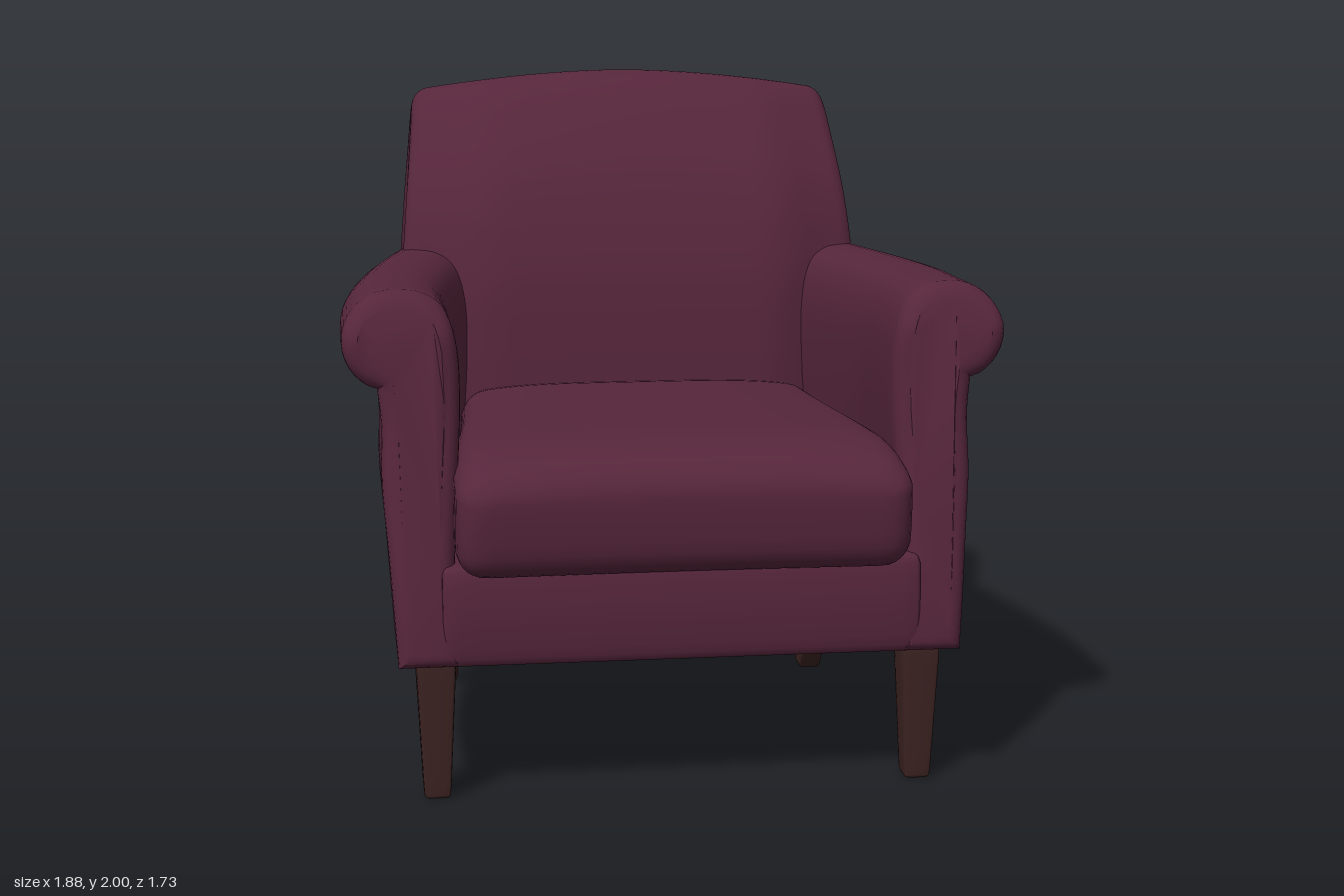
import * as THREE from 'three';
import { mergeVertices, toCreasedNormals } from 'three/addons/utils/BufferGeometryUtils.js';

const { clamp, lerp, smoothstep } = THREE.MathUtils;

// Move every vertex of a geometry by a rule
function deform(geo, rule) {
  const p = geo.attributes.position;
  const v = new THREE.Vector3();
  for (let i = 0; i < p.count; i++) {
    v.fromBufferAttribute(p, i);
    rule(v);
    p.setXYZ(i, v.x, v.y, v.z);
  }
  return geo;
}

// Upholstered block: rounded edges, dense enough to bend, fully smooth
function softBox(w, h, d, r, segs, rule) {
  let geo = new THREE.BoxGeometry(w, h, d, ...segs);
  const half = [w / 2, h / 2, d / 2];
  const inner = new THREE.Vector3(w / 2 - r, h / 2 - r, d / 2 - r);
  const low = inner.clone().negate();
  const core = new THREE.Vector3();
  deform(geo, (v) => {
    // crowd the grid lines towards the edges
    ['x', 'y', 'z'].forEach((a, i) => { v[a] = half[i] * Math.sin((v[a] / half[i]) * Math.PI / 2); });
    core.copy(v).clamp(low, inner);
    v.sub(core).setLength(r).add(core);
  });
  deform(geo, rule);
  geo.deleteAttribute('uv');
  geo.deleteAttribute('normal');
  geo = mergeVertices(geo, 1e-5);
  geo.computeVertexNormals();
  return geo;
}

// Bevelled extrusion running from z = 0 to z = length
function softExtrude(shape, length, bevel, steps, curveSegments) {
  const geo = new THREE.ExtrudeGeometry(shape, {
    depth: length - 2 * bevel, steps, curveSegments,
    bevelEnabled: true, bevelThickness: bevel, bevelSize: bevel, bevelOffset: -bevel, bevelSegments: 5,
  });
  return geo.translate(0, 0, bevel);
}

const points = (list) => list.map(([x, y]) => new THREE.Vector2(x, y));

// Raked line of the rear of the chair, and how far the sides close in towards it
const rearZ = (y) => -0.5 - 0.24 * (y - 0.4);
const closeIn = (z) => 0.15 * Math.pow(clamp((0.25 - z) / 0.95, 0, 1), 1.4);

function armGeometry(side) {
  const s = new THREE.Shape();
  const flip = (list) => points(list.map(([x, y]) => [x * side, y]));
  s.moveTo(0.62 * side, 0.4);
  s.lineTo(0.8 * side, 0.4);
  s.splineThru(flip([[0.82, 0.7], [0.835, 0.9], [0.833, 1.06], [0.843, 1.172]]));
  // rolled top
  const roll = [];
  for (let i = 1; i <= 16; i++) {
    const a = lerp(-1.25, Math.PI / 2, i / 16);
    roll.push([0.8 + 0.14 * Math.cos(a), 1.303 + 0.14 * Math.sin(a)]);
  }
  flip(roll).forEach((p) => s.lineTo(p.x, p.y));
  s.splineThru(flip([[0.72, 1.435], [0.655, 1.39], [0.62, 1.28], [0.615, 1.1], [0.63, 0.85], [0.64, 0.65]]));
  const L = 1.3;
  const geo = softExtrude(s, L, 0.045, 18, 4);
  deform(geo, (v) => {
    const front = 0.775 - 0.11 * smoothstep(v.y, 0.35, 1.25) - 0.045 * smoothstep(v.y, 1.3, 1.44);
    const rear = rearZ(v.y) + 0.1 * smoothstep(v.y, 1.27, 1.44);
    v.z = lerp(rear, front, v.z / L);
    v.x -= side * closeIn(v.z);
  });
  return toCreasedNormals(geo, 0.7);
}

function backGeometry() {
  const s = new THREE.Shape();
  s.moveTo(-0.5, 0.4);
  s.lineTo(-0.28, 0.4);
  s.lineTo(-0.285, 0.8);
  s.lineTo(-0.295, 1.1);
  s.splineThru(points([[-0.312, 1.3], [-0.34, 1.44], [-0.38, 1.57], [-0.45, 1.72], [-0.56, 1.875],
    [-0.65, 1.965], [-0.735, 2.0], [-0.82, 1.975], [-0.865, 1.9], [-0.845, 1.8]]));
  for (let y = 1.6; y > 0.5; y -= 0.2) s.lineTo(rearZ(y), y);
  const W = 1.46;
  const geo = softExtrude(s, W, 0.05, 24, 4);
  geo.translate(0, 0, -W / 2).rotateY(-Math.PI / 2);
  deform(geo, (v) => {
    const u = v.x / (W / 2);
    const a = Math.abs(u);
    // sides flare up to the arms, then taper to the crest
    v.x = u * (v.y < 1.4 ? lerp(0.68, 0.735, (v.y - 0.4) / 1) : lerp(0.735, 0.69, (v.y - 1.4) / 0.53));
    // front wraps round towards the sides
    const depth = clamp((v.z - rearZ(v.y)) / 0.42, 0, 1);
    v.z -= 0.1 * depth * smoothstep(a, 0.6, 1);
    // crowned top edge
    v.y -= 0.065 * Math.pow(a, 1.8) * smoothstep(v.y, 1.5, 1.95);
  });
  return toCreasedNormals(geo, 0.7);
}

export function createModel() {
  const chair = new THREE.Group();
  chair.name = 'armchair';
  const fabric = new THREE.MeshStandardMaterial({ color: 0x56263b });
  fabric.name = 'plum fabric';
  const wood = new THREE.MeshStandardMaterial({ color: 0x3c2322 });
  wood.name = 'dark wood';

  const add = (name, geo, mat) => {
    const mesh = new THREE.Mesh(geo, mat);
    mesh.name = name;
    chair.add(mesh);
  };

  // Seat frame with the front rail
  add('seatFrame', softBox(1.36, 0.29, 1.26, 0.03, [16, 10, 16], (v) => {
    v.y += 0.545;
    v.z += 0.135;
    v.x *= 1 - 0.08 * clamp((0.4 - v.z) / 0.9, 0, 1);
    if (v.z > 0.6) v.z += 0.012 * Math.sin(Math.PI * clamp((v.y - 0.4) / 0.29, 0, 1));
    if (v.z < -0.3) v.z += 0.02 + rearZ(v.y) - rearZ(0.4);
  }), fabric);

  // Loose cushion
  add('seatCushion', softBox(1.28, 0.37, 1.22, 0.085, [28, 14, 28], (v) => {
    const a = Math.abs(v.x) / 0.64;
    const top = smoothstep(v.y, -0.05, 0.185);
    v.y += 0.845;
    v.z += 0.258;
    v.y -= top * (0.07 * Math.pow(clamp((v.z - 0.55) / 0.32, 0, 1), 2) + 0.03 * Math.pow(a, 4));
    if (v.z > 0.6) v.z -= 0.018 * (1 - a * a) * smoothstep(v.z, 0.6, 0.85);
    if (v.z > 0.6) v.z -= 0.015 * smoothstep(0.85 - v.y, 0, 0.17);
    v.x *= 1 - 0.12 * smoothstep(-v.z, -0.75, 0.35);
  }), fabric);

  add('backrest', backGeometry(), fabric);

  for (const [side, label] of [[1, 'left'], [-1, 'right']]) {
    add(label + 'Arm', armGeometry(side), fabric);

    // Straight tapered front leg
    add(label + 'FrontLeg', softBox(0.115, 0.42, 0.125, 0.018, [6, 10, 6], (v) => {
      v.y += 0.21;
      const taper = lerp(0.66, 1, clamp(v.y / 0.4, 0, 1));
      v.x = side * 0.695 + v.x * taper;
      v.z = 0.652 + v.z * taper;
    }), wood);

    // Curved rear leg sweeping backwards
    add(label + 'BackLeg', softBox(0.095, 0.42, 0.16, 0.018, [6, 14, 6], (v) => {
      v.y += 0.21;
      const t = clamp(v.y / 0.4, 0, 1);
      v.x = side * 0.612 + v.x * lerp(0.75, 1, t);
      v.z = lerp(-0.54, -0.39, t) + 0.03 * Math.sin(Math.PI * t) + v.z * lerp(0.55, 1, t);
      // foot cut square to the sweep
      v.y += (v.z + 0.54) * -0.15 * (1 - t);
      v.y = Math.max(v.y, 0);
    }), wood);
  }
  return chair;
}
